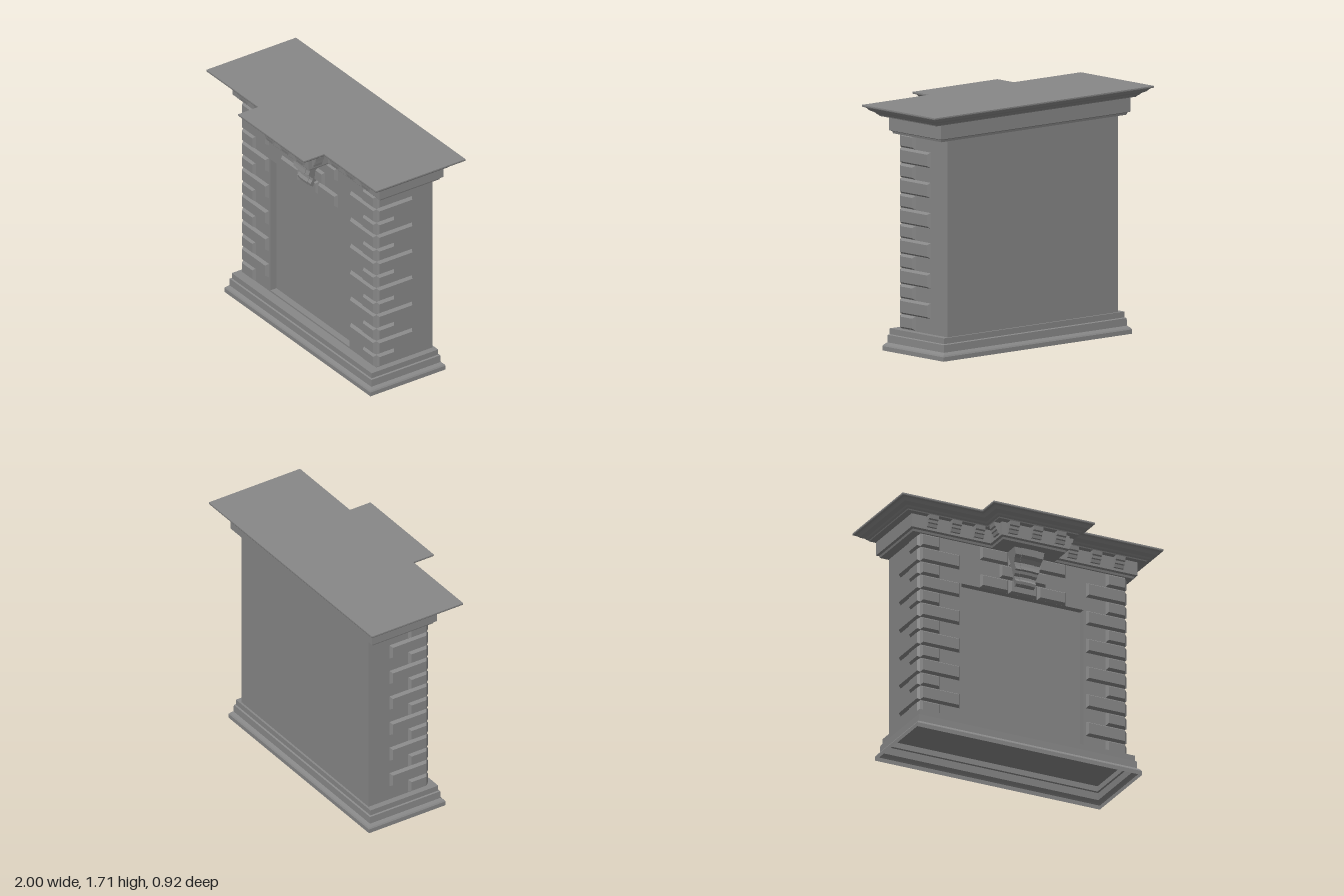
import * as THREE from 'three';

const mat = new THREE.MeshStandardMaterial({ color: 0x888888, flatShading: true, side: THREE.DoubleSide });

function add(parent, name, geometry, x = 0, y = 0, z = 0) {
  const mesh = new THREE.Mesh(geometry, mat);
  mesh.name = name;
  mesh.position.set(x, y, z);
  parent.add(mesh);
  return mesh;
}

// Footprint outline: rectangle, optionally with a centred projection at the front
function footprint({ X, back, front, pX, pFront }, o = 0) {
  const pts = [[X + o, front + o], [X + o, back - o], [-X - o, back - o], [-X - o, front + o]];
  if (pX) pts.push([-pX - o, front + o], [-pX - o, pFront + o], [pX + o, pFront + o], [pX + o, front + o]);
  return pts;
}

// Stack footprints: levels are [y, outline], listed bottom to top
function stack(levels, capped) {
  const pos = [];
  const put = (y, p) => pos.push(p[0], y, p[1]);
  for (let i = 0; i + 1 < levels.length; i++) {
    const [y0, lo] = levels[i], [y1, up] = levels[i + 1];
    lo.forEach((a, k) => {
      const n = (k + 1) % lo.length;
      put(y0, a); put(y0, lo[n]); put(y1, up[n]);
      put(y0, a); put(y1, up[n]); put(y1, up[k]);
    });
  }
  if (capped) {
    for (const [level, flip] of [[levels[0], true], [levels[levels.length - 1], false]]) {
      const [y, pts] = level;
      const flat = pts.map(p => new THREE.Vector2(p[0], -p[1]));
      for (const f of THREE.ShapeUtils.triangulateShape(flat, [])) {
        (flip ? [f[0], f[2], f[1]] : f).forEach(i => put(y, pts[i]));
      }
    }
  }
  const g = new THREE.BufferGeometry();
  g.setAttribute('position', new THREE.Float32BufferAttribute(pos, 3));
  g.computeVertexNormals();
  return g;
}

// Block with a chamfered face toward +z, back at z = 0
function brickGeometry(w, h, depth = 0.022, bevel = 0.014) {
  const g = new THREE.BoxGeometry(w, h, depth).translate(0, 0, depth / 2);
  const p = g.attributes.position;
  for (let i = 0; i < p.count; i++) {
    if (p.getZ(i) < depth / 2) continue;
    p.setX(i, p.getX(i) - Math.sign(p.getX(i)) * bevel);
    p.setY(i, p.getY(i) - Math.sign(p.getY(i)) * bevel);
  }
  return g;
}

// Side profile [z, y] extruded across x, centred
function profileGeometry(points, width) {
  const shape = new THREE.Shape(points.map(p => new THREE.Vector2(p[0], p[1])));
  const g = new THREE.ExtrudeGeometry(shape, { depth: width, bevelEnabled: false });
  return g.translate(0, 0, -width / 2).rotateY(-Math.PI / 2);
}

export function createModel() {
  const model = new THREE.Group();
  model.name = 'fireplace';
  const W = 0.78, BACK = -0.34, FRONT = 0.13, RECESS = 0.05;

  // Stepped plinth shell, open underneath
  const base = { X: 0.825, back: -0.355, front: 0.2 };
  const baseSteps = [[0, 0.036], [0.03, 0.036], [0.04, 0.03], [0.053, 0.016], [0.056, 0.012],
    [0.108, 0.01], [0.113, 0], [0.153, 0]];
  add(model, 'plinth', stack([
    ...baseSteps.map(([y, o]) => [y, footprint(base, o)]),
    [0.153, footprint({ X: W - 0.01, back: BACK + 0.01, front: FRONT - 0.01 })]]));

  // Body: underside, back, sides and a front wall with an opening
  const H = 1.37, MID = 0.15 + H / 2, DEEP = FRONT - BACK, midZ = (FRONT + BACK) / 2;
  add(model, 'bodyUnderside', new THREE.PlaneGeometry(2 * W, DEEP).rotateX(Math.PI / 2), 0, 0.15, midZ);
  add(model, 'backWall', new THREE.PlaneGeometry(2 * W, H).rotateY(Math.PI), 0, MID, BACK);
  for (const s of [-1, 1]) {
    add(model, 'sideWall', new THREE.PlaneGeometry(DEEP, H).rotateY(s * Math.PI / 2), s * W, MID, midZ);
  }
  const wall = new THREE.Shape([[-W, 0.15], [W, 0.15], [W, 1.52], [-W, 1.52]].map(p => new THREE.Vector2(...p)));
  wall.holes.push(new THREE.Path([[-0.467, 0.165], [-0.467, 1.2], [0.467, 1.2], [0.467, 0.165]].map(p => new THREE.Vector2(...p))));
  add(model, 'frontWall', new THREE.ExtrudeGeometry(wall, { depth: RECESS, bevelEnabled: false }), 0, 0, FRONT - RECESS);
  add(model, 'recessPanel', new THREE.PlaneGeometry(0.96, 1.06), 0, 0.682, FRONT - RECESS + 0.001);

  // Corner quoins, alternating short and long
  const quoins = new THREE.Group();
  quoins.name = 'quoins';
  model.add(quoins);
  const pitch = 0.1043;
  const rowY = r => 0.155 + (r + 0.5) * pitch;
  for (let r = 0; r < 13; r++) {
    const long = r % 2 === 1;
    const frontW = long ? 0.302 : 0.15, sideW = long ? 0.302 : 0.149, h = long ? 0.107 : 0.097;
    for (const s of [-1, 1]) {
      add(quoins, 'frontQuoin', brickGeometry(frontW, h), s * (0.787 - frontW / 2), rowY(r), FRONT);
      const side = add(quoins, 'sideQuoin', brickGeometry(sideW, h), s * W, rowY(r), 0.133 - sideW / 2);
      side.rotation.y = s * Math.PI / 2;
    }
  }

  // Bricks above the opening: [row, centre x, width]
  for (const [r, x, w] of [[10, -0.22, 0.215], [10, 0, 0.215], [10, 0.22, 0.215],
    [11, -0.09, 0.175], [11, 0.09, 0.175], [12, -0.22, 0.215], [12, 0, 0.215], [12, 0.22, 0.215]]) {
    add(model, 'lintelBrick', brickGeometry(w, 0.1), x, rowY(r), FRONT);
  }

  // Keystone bracket, tapering downward, with a raised centre band
  const scroll = [[0.12, 1.515], [0.235, 1.515], [0.233, 1.46], [0.212, 1.442], [0.196, 1.415], [0.2, 1.39],
    [0.208, 1.362], [0.186, 1.36], [0.182, 1.34], [0.165, 1.325], [0.168, 1.305], [0.182, 1.285],
    [0.178, 1.265], [0.16, 1.255], [0.12, 1.255]];
  const band = scroll.map(([z, y]) => [z > 0.13 ? z + 0.005 : z, y]);
  for (const [name, pts, width] of [['keystone', scroll, 0.23], ['keystoneBand', band, 0.13]]) {
    const g = profileGeometry(pts, width), p = g.attributes.position;
    for (let i = 0; i < p.count; i++) {
      p.setX(i, p.getX(i) * THREE.MathUtils.mapLinear(p.getY(i), 1.255, 1.515, 0.62, 1));
    }
    g.computeVertexNormals();
    add(model, name, g);
  }

  // Frieze with centre projection
  const frieze = { X: 0.866, back: -0.37, front: 0.163, pX: 0.26, pFront: 0.327 };
  add(model, 'frieze', stack([[1.51, -0.02], [1.525, -0.016], [1.532, 0], [1.635, 0]]
    .map(([y, o]) => [y, footprint(frieze, o)]), true));

  // Cornice moulding and shelf
  const shelf = { X: 1, back: -0.46, front: 0.288, pX: 0.388, pFront: 0.456 };
  const moulding = [[1.63, -0.085], [1.637, -0.082], [1.645, -0.07], [1.655, -0.062], [1.66, -0.052],
    [1.668, -0.036], [1.68, -0.026], [1.688, -0.018], [1.692, -0.002], [1.697, 0], [1.706, 0]];
  add(model, 'cornice', stack(moulding.map(([y, o]) => [y, footprint(shelf, o)]), true));

  // Stepped dentil blocks
  const dentil = profileGeometry([[-0.01, 1.55], [0.015, 1.55], [0.02, 1.572], [0.028, 1.577], [0.03, 1.595],
    [0.04, 1.602], [0.044, 1.63], [-0.01, 1.63]], 0.072);
  for (let i = -4; i <= 4; i++) {
    add(model, 'dentil', dentil, i * 0.179, 0, Math.abs(i) < 2 ? frieze.pFront : frieze.front);
  }
  for (const s of [-1, 1]) {
    add(model, 'sideDentil', dentil, s * frieze.pX, 0, 0.262).rotation.y = s * Math.PI / 2;
  }
  return model;
}
